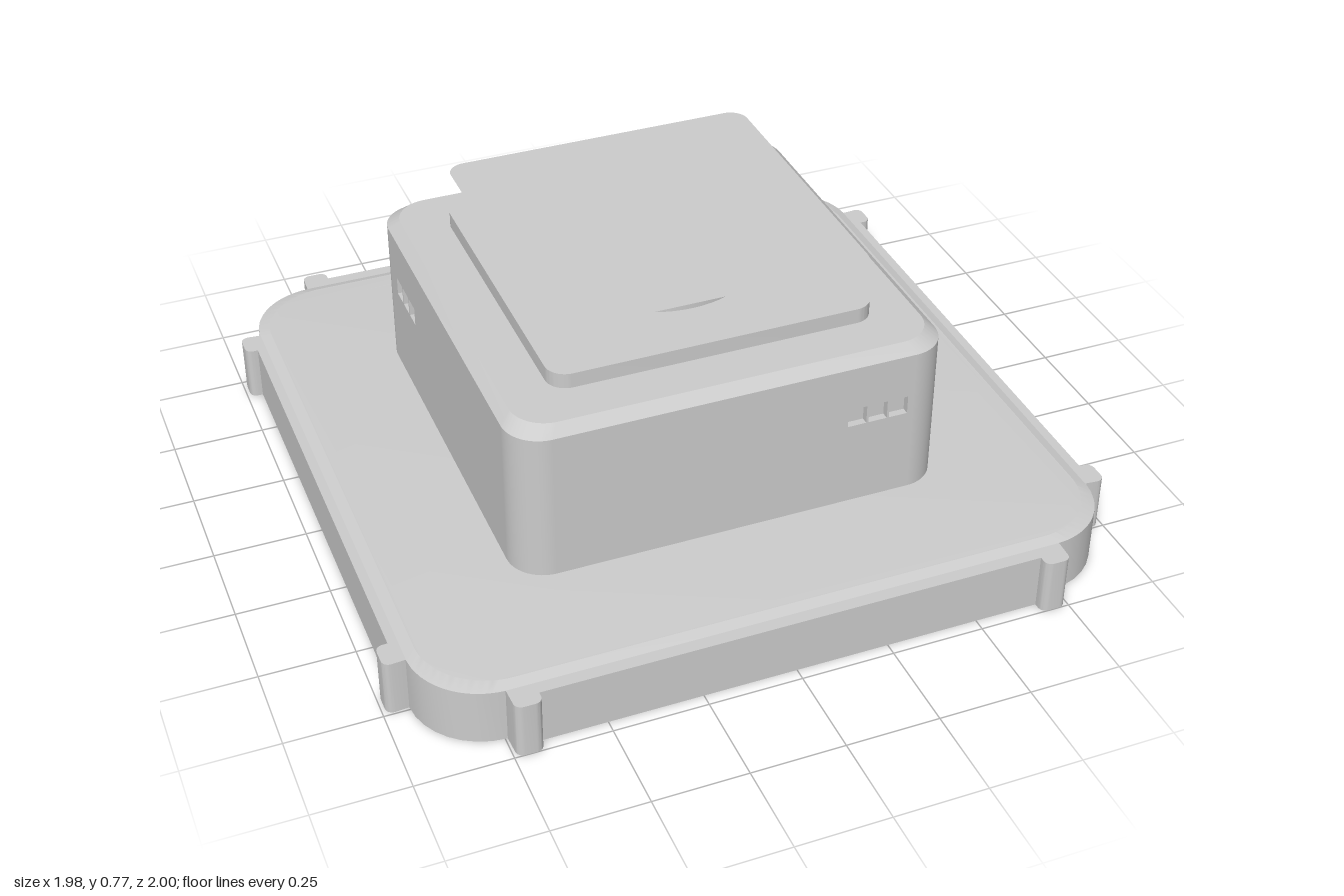
import * as THREE from 'three';
import { toCreasedNormals } from 'three/addons/utils/BufferGeometryUtils.js';

const grey = new THREE.MeshStandardMaterial({ color: 0xcccccc });
const greyDouble = new THREE.MeshStandardMaterial({ color: 0xcccccc, side: THREE.DoubleSide });
const greyInside = new THREE.MeshStandardMaterial({ color: 0xcccccc, side: THREE.BackSide });

function add(parent, name, geometry, material = grey) {
  const mesh = new THREE.Mesh(geometry, material);
  mesh.name = name;
  parent.add(mesh);
  return mesh;
}

// Square with rounded corners, h = half side, r = corner radius
function roundedSquare(h, r) {
  const s = new THREE.Shape();
  const c = h - r;
  s.absarc(c, c, r, 0, Math.PI / 2);
  s.absarc(-c, c, r, Math.PI / 2, Math.PI);
  s.absarc(-c, -c, r, Math.PI, Math.PI * 1.5);
  s.absarc(c, -c, r, Math.PI * 1.5, Math.PI * 2);
  s.closePath();
  return s;
}

// Upright extrusion from y0 to y1, with the top narrowed by a factor
function slab(shape, y0, y1, topScale = 1) {
  const g = new THREE.ExtrudeGeometry(shape, { depth: y1 - y0, bevelEnabled: false, curveSegments: 12 });
  g.rotateX(-Math.PI / 2).translate(0, y0, 0);
  const p = g.attributes.position;
  for (let i = 0; i < p.count; i++) {
    if (p.getY(i) > (y0 + y1) / 2) {
      p.setX(i, p.getX(i) * topScale);
      p.setZ(i, p.getZ(i) * topScale);
    }
  }
  return toCreasedNormals(g, 0.3);
}

// Base outline: one corner with two rounded tabs, mirrored into four quadrants
function baseOutline() {
  const corner = [];
  const arc = (cx, cy, r, a0, a1, n) => {
    for (let i = 0; i <= n; i++) {
      const a = a0 + (a1 - a0) * i / n;
      corner.push([cx + r * Math.cos(a), cy + r * Math.sin(a)]);
    }
  };
  const q = Math.PI / 2, t = 0.02;
  corner.push([0.957, 0.67]);
  arc(0.99 - t, 0.67 + t, t, -q, 0, 6);
  arc(0.99 - t, 0.745 - t, t, 0, q, 6);
  arc(0.738, 0.736, 0.195, 0.03, q - 0.03, 8);
  arc(0.742 - t, 1 - t, t, 0, q, 6);
  arc(0.672 + t, 1 - t, t, q, 2 * q, 6);
  corner.push([0.672, 0.967]);
  const points = [];
  for (const [sx, sy] of [[1, 1], [-1, 1], [-1, -1], [1, -1]]) {
    const part = corner.map(([x, y]) => new THREE.Vector2(sx * x, sy * y));
    if (sx * sy < 0) part.reverse();
    points.push(...part);
  }
  return new THREE.Shape(points);
}

// Body: four wall panels, four rounded corners, chamfered lid
function makeBody() {
  const body = new THREE.Group();
  body.name = 'body';
  body.position.set(-0.004, 0, -0.002);
  const h = 0.588, r = 0.1, c = h - r, y0 = 0.155, y1 = 0.583;
  const portSize = 0.052, portPitch = 0.058, portY = 0.431, portDepth = 0.02;
  const portCentres = [0.388, null, null, -0.35]; // front, left, back, right walls

  portCentres.forEach((centre, side) => {
    const wall = new THREE.Group();
    wall.name = 'wall';
    wall.rotation.y = side * Math.PI / 2;
    body.add(wall);

    const panel = new THREE.Shape([[-c, y0], [c, y0], [c, y1], [-c, y1]].map(p => new THREE.Vector2(...p)));
    if (centre !== null) {
      for (let i = -1; i <= 1; i++) {
        const x = centre + i * portPitch, d = portSize / 2;
        panel.holes.push(new THREE.Path([[-d, -d], [-d, d], [d, d], [d, -d]]
          .map(([u, v]) => new THREE.Vector2(x + u, portY + v))));
        // Shallow socket behind each opening
        add(wall, 'portSocket', new THREE.BoxGeometry(portSize, portSize, portDepth), greyInside)
          .position.set(x, portY, h - portDepth / 2);
      }
    }
    add(wall, 'wallPanel', new THREE.ShapeGeometry(panel)).position.z = h;
    add(wall, 'roundedCorner', new THREE.CylinderGeometry(r, r, y1 - y0, 12, 1, true, 0, Math.PI / 2))
      .position.set(c, (y0 + y1) / 2, c);
  });

  add(body, 'chamferedLid', slab(roundedSquare(h, r), y1, 0.61, 0.95));
  return body;
}

export function createModel() {
  const model = new THREE.Group();
  model.name = 'steppedPedestal';

  // Base plate with corner tabs and a low bevelled crown
  add(model, 'basePlate', slab(baseOutline(), 0, 0.155));
  add(model, 'baseCrown', slab(roundedSquare(0.932, 0.195), 0.155, 0.165, 0.97));

  // Body with a square step and a round neck on top
  model.add(makeBody());
  add(model, 'topStep', slab(roundedSquare(0.441, 0.055), 0.61, 0.652)).position.z = -0.005;
  add(model, 'neck', new THREE.CylinderGeometry(0.279, 0.279, 0.082, 64)).position.set(-0.003, 0.693, -0.003);

  // Paper-thin plate floating just above the neck
  const plate = new THREE.ShapeGeometry(roundedSquare(0.434, 0.05), 12).rotateX(-Math.PI / 2);
  add(model, 'topPlate', plate, greyDouble).position.set(0, 0.775, -0.005);

  return model;
}
